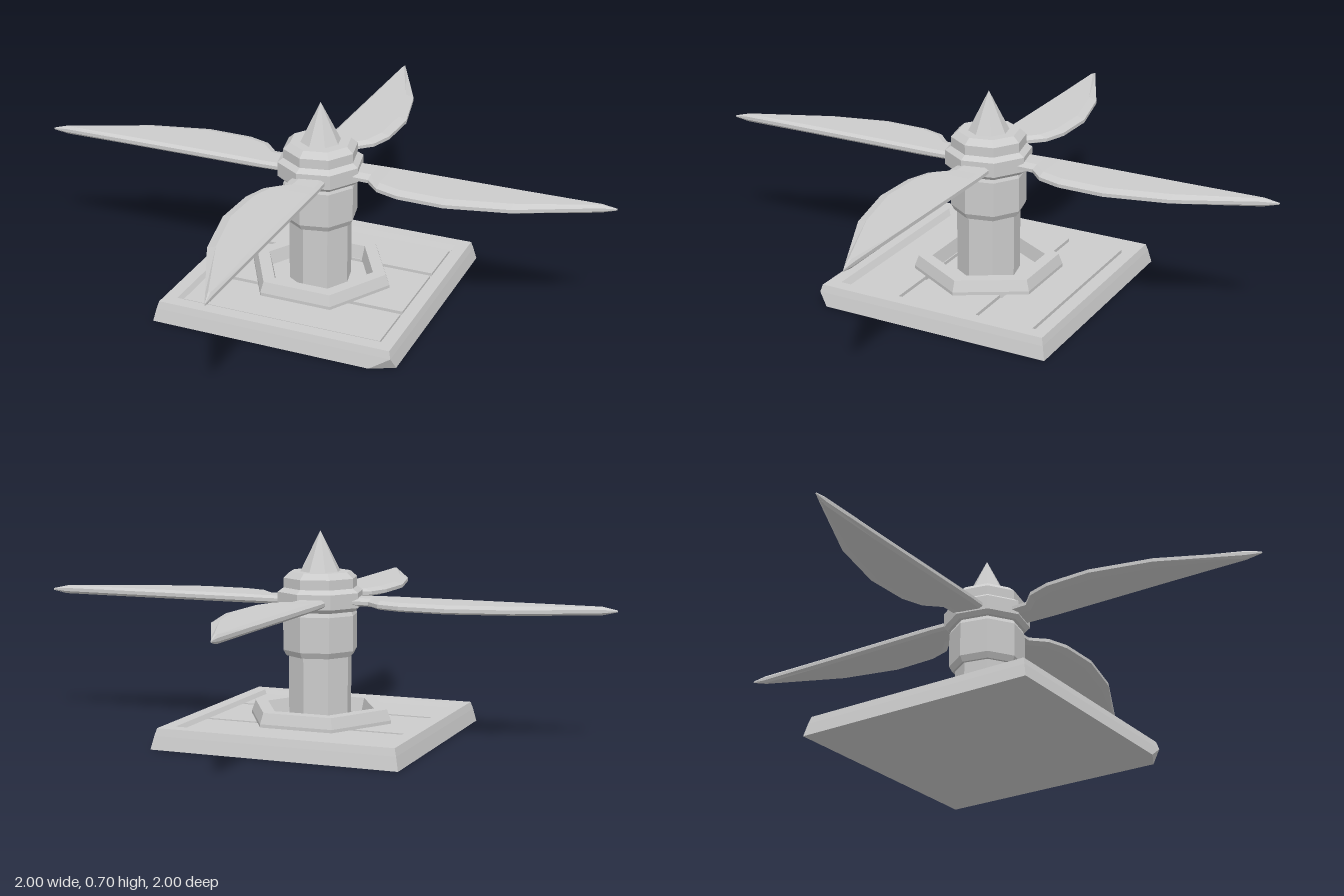
import * as THREE from 'three';
import { ConvexGeometry } from 'three/addons/geometries/ConvexGeometry.js';

const mat = new THREE.MeshStandardMaterial({ color: 0xcccccc, flatShading: true });

function add(parent, name, geometry) {
  const mesh = new THREE.Mesh(geometry, mat);
  mesh.name = name;
  parent.add(mesh);
  return mesh;
}

// Faceted turned part: profile of [radius, y] pairs, running bottom to top on the outside
function turned(profile, sides, phase) {
  const pts = profile.map(([r, y]) => new THREE.Vector2(r, y));
  return new THREE.LatheGeometry(pts, sides, THREE.MathUtils.degToRad(phase));
}

// Blade along +x, lofted through bevelled sections [x, straight edge z, curved edge z, half height]
function bladeGeometry() {
  const mid = 0.467;
  const sections = [
    [0.08, -0.065, 0.045, 0.014],
    [0.19, -0.07, 0.048, 0.014],
    [0.24, -0.07, 0.1, 0.015],
    [0.32, -0.07, 0.126, 0.015],
    [0.48, -0.07, 0.13, 0.015],
    [0.69, -0.07, 0.08, 0.015],
    [0.95, -0.07, -0.045, 0.014],
    [1.0, -0.07, -0.068, 0.003],
  ];
  const pos = [], index = [];
  for (const [x, a, b, h] of sections) {
    const w = b - a, ia = Math.min(0.012, w * 0.3), ib = Math.min(0.03, w * 0.4), e = h * 0.4;
    const ring = [
      [a, -e], [a + ia, -h], [b - ib, -h], [b, -e],
      [b, e], [b - ib, h], [a + ia, h], [a, e],
    ];
    for (const [z, y] of ring) pos.push(x, mid + y, z);
  }
  const n = 8;
  for (let i = 0; i < sections.length - 1; i++) {
    for (let j = 0; j < n; j++) {
      const p = i * n + j, q = i * n + (j + 1) % n;
      index.push(p, p + n, q, q, p + n, q + n);
    }
  }
  // Close both ends
  const last = (sections.length - 1) * n;
  for (let j = 1; j < n - 1; j++) {
    index.push(0, j, j + 1, last, last + j + 1, last + j);
  }
  const g = new THREE.BufferGeometry();
  g.setAttribute('position', new THREE.Float32BufferAttribute(pos, 3));
  g.setIndex(index);
  g.computeVertexNormals();
  return g;
}

export function createModel() {
  const model = new THREE.Group();
  model.name = 'bladedTurret';

  // Square plinth with tapered sides and one chipped front corner
  const base = new THREE.Group();
  base.name = 'base';
  model.add(base);
  const B = 0.43, T = 0.42, H = 0.045;
  const corners = [];
  for (const sx of [-1, 1]) for (const sz of [-1, 1]) {
    corners.push(new THREE.Vector3(sx * T, H, sz * T));
    if (sx + sz < 2) corners.push(new THREE.Vector3(sx * B, 0, sz * B));
  }
  corners.push(new THREE.Vector3(0.35, 0, B), new THREE.Vector3(B, 0, 0.39));
  add(base, 'plinth', new ConvexGeometry(corners));

  // Raised square rim
  const s = Math.SQRT2;
  add(base, 'rim', turned([[0.42 * s, H], [0.413 * s, 0.07], [0.368 * s, 0.07], [0.353 * s, H]], 4, 45));

  // Floor planks separated by grooves
  for (const [z, depth] of [[-0.25, 0.19], [0, 0.275], [0.25, 0.19]]) {
    add(base, 'floorPlank', new THREE.BoxGeometry(0.71, 0.014, depth)).position.set(0, 0.05, z);
  }

  // Hexagonal ring around the foot of the column
  add(base, 'footRing', turned([[0.256, 0.045], [0.256, 0.068], [0.242, 0.105], [0.195, 0.105], [0.18, 0.045]], 6, 30));

  // Eight-sided column, head, collar and spire
  const phase = 35;
  add(model, 'column', turned([[0.109, 0.045], [0.109, 0.285]], 8, phase));
  add(model, 'head', turned([[0.09, 0.28], [0.118, 0.28], [0.129, 0.3], [0.129, 0.42], [0.12, 0.44]], 8, phase));
  add(model, 'collar', turned([
    [0.11, 0.432], [0.134, 0.435], [0.148, 0.448], [0.148, 0.498], [0.128, 0.512],
    [0.128, 0.545], [0.105, 0.565], [0, 0.565],
  ], 8, phase));
  add(model, 'spire', turned([[0.072, 0.56], [0, 0.703]], 8, phase));

  // Four curved blades
  const blades = new THREE.Group();
  blades.name = 'blades';
  model.add(blades);
  const blade = bladeGeometry();
  for (let i = 0; i < 4; i++) {
    add(blades, 'blade', blade).rotation.y = i * Math.PI / 2;
  }
  return model;
}
